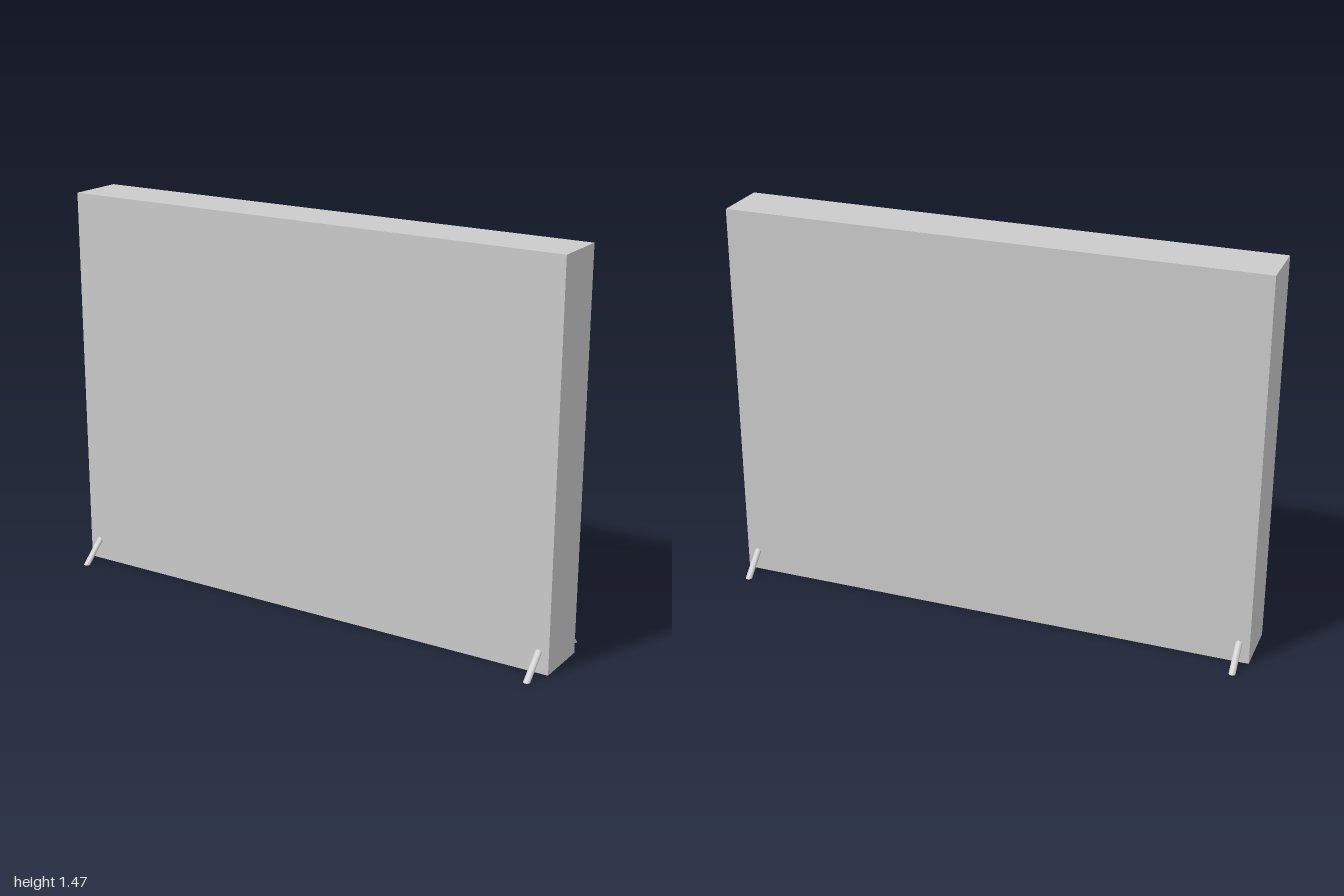
import * as THREE from 'three';

const material = new THREE.MeshStandardMaterial({ color: 0xcccccc });

// Slanted round strut: flat on the ground, leaning inward until it ends inside the panel
function strutGeometry() {
  const radius = 0.0125, height = 0.095, lean = 1.09;
  const geo = new THREE.CylinderGeometry(radius, radius, height, 24);
  geo.translate(0, height / 2, 0);
  geo.applyMatrix4(new THREE.Matrix4().set(
    1, 0, 0, 0,
    0, 1, 0, 0,
    0, -lean, 1, 0,
    0, 0, 0, 1));
  return geo;
}

export function createModel() {
  const model = new THREE.Group();
  model.name = 'standingPanel';

  // Main slab
  const panel = new THREE.Mesh(new THREE.BoxGeometry(2, 1.465, 0.214), material);
  panel.name = 'panel';
  panel.position.y = 1.465 / 2;
  model.add(panel);

  // Four feet, one near each bottom corner
  const geo = strutGeometry();
  for (const front of [true, false]) {
    for (const side of [1, -1]) {
      const foot = new THREE.Mesh(geo, material);
      foot.name = (front ? 'front' : 'back') + (side > 0 ? 'Left' : 'Right') + 'Foot';
      foot.position.set(side * 0.96, 0, front ? 0.19 : -0.19);
      if (!front) foot.rotation.y = Math.PI;
      model.add(foot);
    }
  }
  return model;
}
